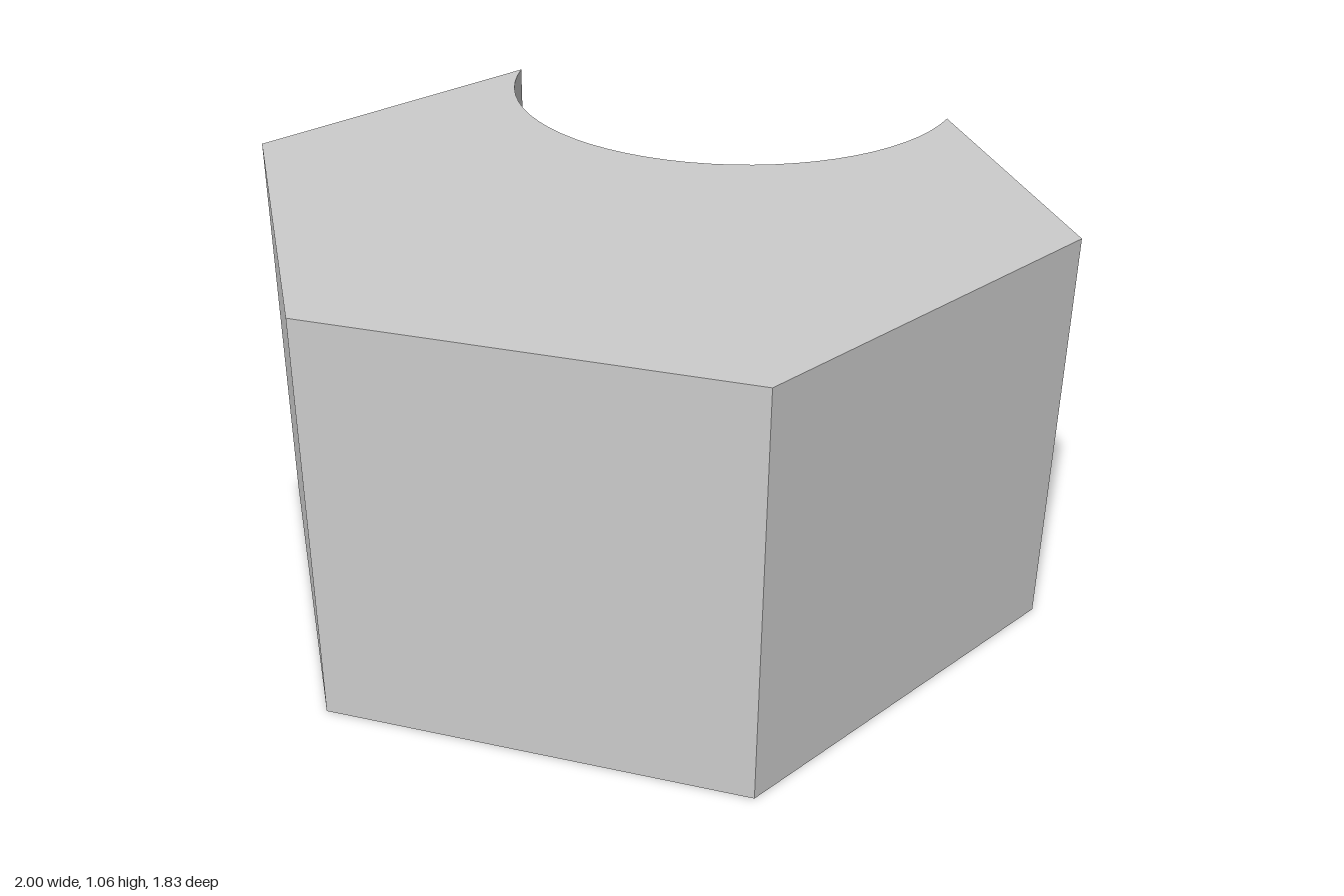
import * as THREE from 'three';

export function createModel() {
  const group = new THREE.Group();
  const R = 1.057; // hexagon side, also the block height
  const cx = R - 1; // hexagon centre, left corner at x = -1
  const corner = (i) => [cx + R * Math.cos((i * Math.PI) / 3), R * Math.sin((i * Math.PI) / 3)];

  // Round bite that removes the back left corner
  const bite = { x: 0.79, y: 0.4, r: 0.635 };
  const backEdge = corner(2)[1];
  const start = Math.PI - Math.asin((backEdge - bite.y) / bite.r);
  const end = Math.atan2(-0.198 - bite.y, 1 - bite.x) + 2 * Math.PI;

  // Plan outline, with shape y pointing to the back
  const outline = new THREE.Shape();
  outline.moveTo(bite.x + bite.r * Math.cos(start), backEdge);
  for (let i = 2; i <= 5; i++) outline.lineTo(...corner(i));
  outline.lineTo(bite.x + bite.r * Math.cos(end), bite.y + bite.r * Math.sin(end));
  outline.absarc(bite.x, bite.y, bite.r, end, start, true);

  const geometry = new THREE.ExtrudeGeometry(outline, {
    depth: R,
    bevelEnabled: false,
    curveSegments: 16,
  });
  geometry.rotateX(-Math.PI / 2);

  const block = new THREE.Mesh(
    geometry,
    new THREE.MeshStandardMaterial({ color: 0xcccccc, flatShading: true })
  );
  block.name = 'notchedHexagonalBlock';
  group.add(block);
  return group;
}
